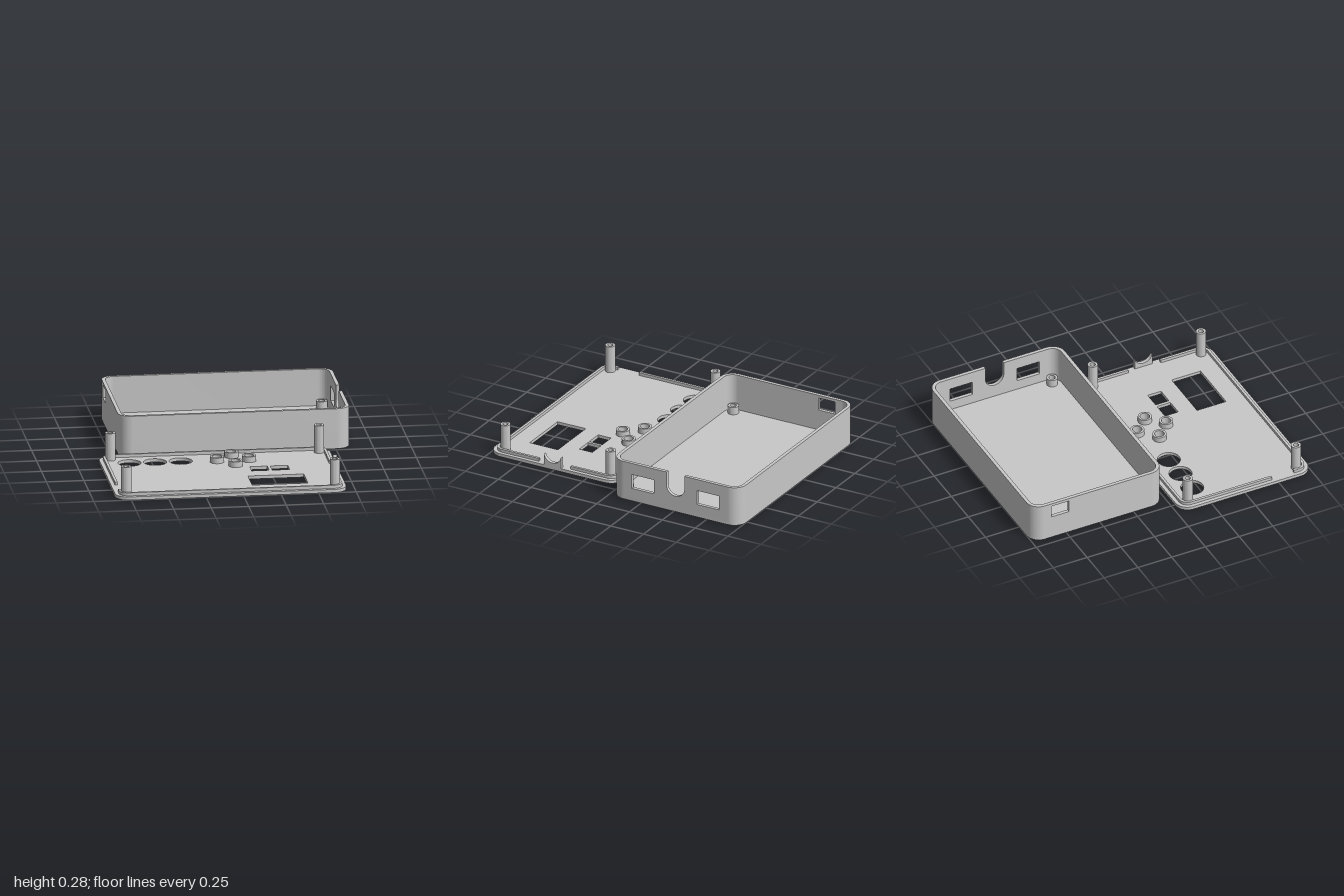
import * as THREE from 'three';
import { toCreasedNormals } from 'three/addons/utils/BufferGeometryUtils.js';

const grey = new THREE.MeshStandardMaterial({ color: 0xc8c8c8 });
grey.name = 'light grey plastic';

const PLATE = 0.022;  // floor and lid thickness
const WALL = 0.024;
const RADIUS = 0.09;  // outer corner radius
const HEIGHT = 0.275;
const box = { x0: -0.695, x1: 0.847, z0: -1, z1: -0.026 };
const lid = { x0: -0.847, x1: 0.694, z0: 0.026, z1: 1 };

function add(parent, name, geometry) {
  const mesh = new THREE.Mesh(toCreasedNormals(geometry, 0.5), grey);
  mesh.name = name;
  parent.add(mesh);
}

const extrude = (shape, depth) =>
  new THREE.ExtrudeGeometry(shape, { depth, bevelEnabled: false, curveSegments: 14 });

// Plan outline, drawn in (x, -z), raised from y0 to y1
const raise = (shape, y0, y1) => extrude(shape, y1 - y0).rotateX(-Math.PI / 2).translate(0, y0, 0);

// Side outline, drawn in (-z, y), thickened from x0 to x1
const sideways = (shape, x0, x1) => extrude(shape, x1 - x0).rotateY(Math.PI / 2).translate(x0, 0, 0);

function roundedRect({ x0, x1, z0, z1 }, r) {
  const s = new THREE.Shape();
  s.absarc(x1 - r, -z0 - r, r, 0, Math.PI / 2);
  s.absarc(x0 + r, -z0 - r, r, Math.PI / 2, Math.PI);
  s.absarc(x0 + r, -z1 + r, r, Math.PI, Math.PI * 1.5);
  s.absarc(x1 - r, -z1 + r, r, Math.PI * 1.5, Math.PI * 2);
  s.closePath();
  return s;
}

function rect(u0, u1, v0, v1, Type = THREE.Path) {
  return new Type([[u0, v0], [u1, v0], [u1, v1], [u0, v1]].map(p => new THREE.Vector2(...p)));
}

function circle(x, z, r, Type = THREE.Path) {
  const c = new Type();
  c.absarc(x, -z, r, 0, Math.PI * 2);
  return c;
}

function tube(parent, name, x, z, outer, inner, y0, y1) {
  const s = circle(x, z, outer, THREE.Shape);
  s.holes.push(circle(x, z, inner));
  add(parent, name, raise(s, y0, y1));
}

// Front and back runs of a rounded wall, each with its two corners
function endWalls(parent, name, { x0, x1, z0, z1 }, r, t, y0, y1) {
  const w = (x1 - x0) / 2, c = w - r, q = Math.PI / 2;
  const s = new THREE.Shape();
  s.moveTo(-w, 0);
  s.absarc(-c, 0, r, Math.PI, q, true);
  s.absarc(c, 0, r, q, 0, true);
  s.lineTo(w - t, 0);
  s.absarc(c, 0, r - t, 0, q, false);
  s.absarc(-c, 0, r - t, q, Math.PI, false);
  s.closePath();
  const middle = (x0 + x1) / 2;
  add(parent, name + 'Back', raise(s, y0, y1).translate(middle, 0, z0 + r));
  add(parent, name + 'Front', raise(s, y0, y1).rotateY(Math.PI).translate(middle, 0, z1 - r));
}

function buildBox() {
  const g = new THREE.Group();
  g.name = 'openBox';
  add(g, 'boxFloor', raise(roundedRect(box, RADIUS), 0, PLATE));
  endWalls(g, 'boxWall', box, RADIUS, WALL, PLATE, HEIGHT);
  const u0 = -box.z1 + RADIUS, u1 = -box.z0 - RADIUS;

  // Left wall with two sockets and the round cable notch
  const left = new THREE.Shape();
  left.moveTo(u0, PLATE);
  left.lineTo(u1, PLATE);
  left.lineTo(u1, HEIGHT);
  left.lineTo(0.58, HEIGHT);
  left.absarc(0.512, 0.181, 0.068, 0, Math.PI, true);
  left.lineTo(0.444, HEIGHT);
  left.lineTo(u0, HEIGHT);
  left.closePath();
  left.holes.push(rect(0.178, 0.348, 0.092, 0.193), rect(0.676, 0.844, 0.092, 0.193));
  add(g, 'leftWall', sideways(left, box.x1 - WALL, box.x1));

  // Right wall with one socket
  const right = rect(u0, u1, PLATE, HEIGHT, THREE.Shape);
  right.holes.push(rect(0.73, 0.858, 0.167, 0.255));
  add(g, 'rightWall', sideways(right, box.x0, box.x0 + WALL));

  // Short screw bosses
  for (const x of [-0.62, 0.772])
    for (const z of [-0.915, -0.112]) tube(g, 'screwBoss', x, z, 0.037, 0.021, PLATE, 0.075);
  return g;
}

function buildLid() {
  const g = new THREE.Group();
  g.name = 'lid';
  const posts = [-0.773, 0.619].flatMap(x => [0.111, 0.913].map(z => [x, z]));
  const buttons = [[0.03, 0.143], [-0.08, 0.252], [0.134, 0.252], [0.03, 0.357]];

  // Plate with screw, button, round and rectangular openings
  const plate = roundedRect(lid, RADIUS);
  for (const [x, z] of posts) plate.holes.push(circle(x, z, 0.018));
  for (const [x, z] of buttons) plate.holes.push(circle(x, z, 0.032));
  for (const x of [-0.657, -0.486, -0.315]) plate.holes.push(circle(x, 0.202, 0.077));
  plate.holes.push(
    rect(0.12, 0.236, -0.493, -0.394),
    rect(0.257, 0.373, -0.493, -0.394),
    rect(0.079, 0.451, -0.826, -0.611));
  add(g, 'lidPlate', raise(plate, 0, PLATE));

  for (const [x, z] of posts) tube(g, 'screwPost', x, z, 0.034, 0.018, PLATE, 0.21);
  for (const [x, z] of buttons) tube(g, 'buttonCollar', x, z, 0.047, 0.032, PLATE, 0.06);

  // Locating ridge, interrupted at the sockets
  const inset = 0.026, t = 0.018, top = 0.043;
  const ring = { x0: lid.x0 + inset, x1: lid.x1 - inset, z0: lid.z0 + inset, z1: lid.z1 - inset };
  const r = RADIUS - inset;
  endWalls(g, 'ridge', ring, r, t, PLATE, top);
  const a = ring.z0 + r, b = ring.z1 - r;
  const strip = (name, x, z0, z1) =>
    add(g, name, raise(rect(x, x + t, -z1, -z0, THREE.Shape), PLATE, top));
  strip('ridgeRight', ring.x0, a, 0.712);
  strip('ridgeRight', ring.x0, 0.874, b);
  strip('ridgeLeft', ring.x1 - t, a, 0.392);
  strip('ridgeLeft', ring.x1 - t, 0.632, b);

  // Cable saddle that closes the notch
  const s = new THREE.Shape();
  s.moveTo(-0.578, PLATE);
  s.lineTo(-0.448, PLATE);
  s.lineTo(-0.448, 0.1);
  s.absarc(-0.513, 0.113, 0.065, -0.2, Math.PI + 0.2, true);
  s.lineTo(-0.578, 0.1);
  s.closePath();
  add(g, 'cableSaddle', sideways(s, 0.668, lid.x1));
  return g;
}

export function createModel() {
  const model = new THREE.Group();
  model.name = 'enclosure';
  model.add(buildBox(), buildLid());
  return model;
}
